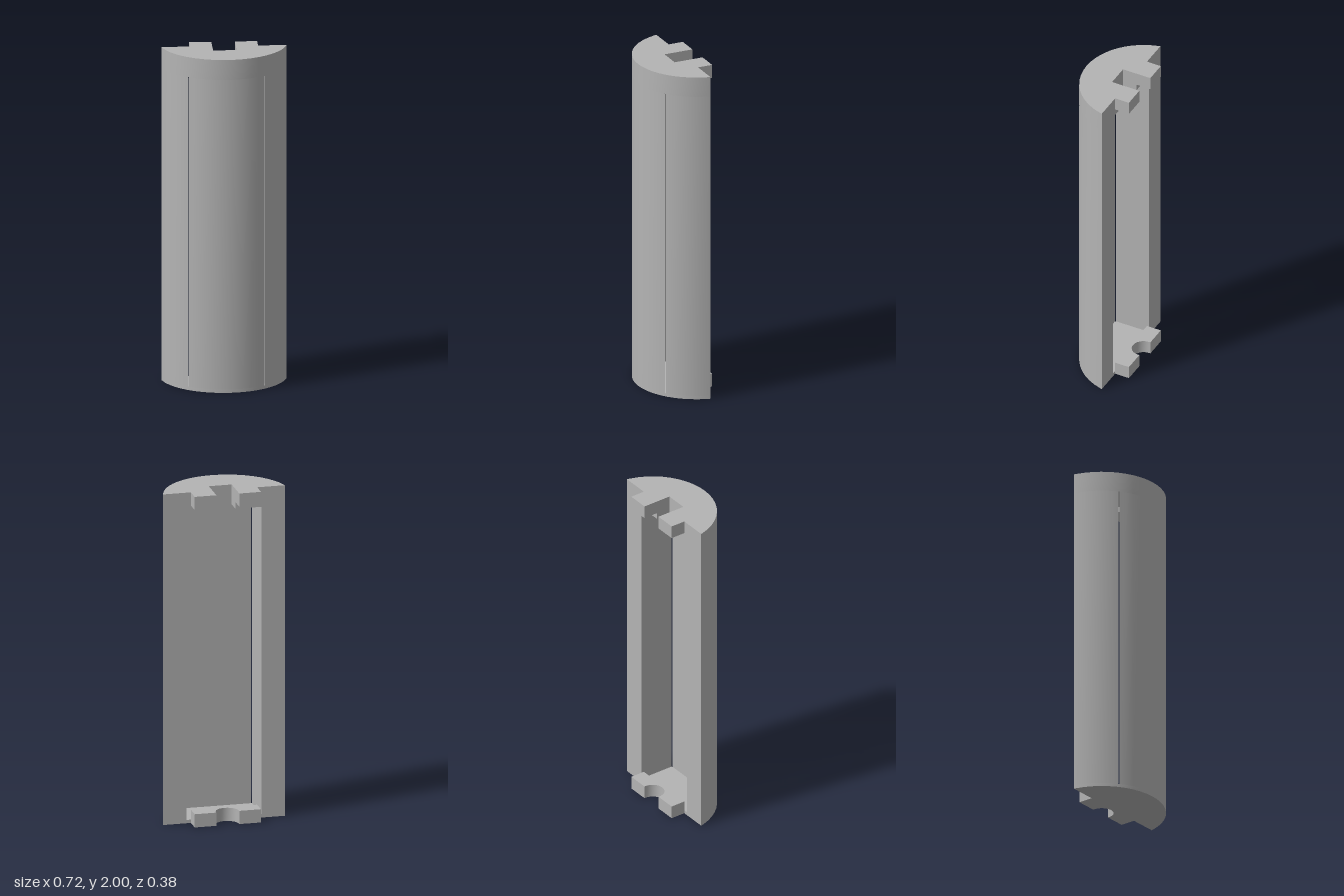
import * as THREE from 'three';
import { mergeGeometries, toCreasedNormals } from 'three/addons/utils/BufferGeometryUtils.js';

// Half-round section, given as [x, z] outlines
const R = 0.371, CZ = -0.181;          // curved front
const BACK = -0.1, TAB_Z = -0.19;      // flat back and end of the tabs
const TAB_X = 0.197, NOTCH_X = 0.068, NOTCH_Z = -0.012;
const POCKET_X = 0.222, POCKET_Z = 0.12;
const FLOOR = 0.02, CEILING = 1.88, TAB_H = 0.08, H = 2;
const STEP = Math.PI / 24;

const END = Math.acos((BACK - CZ) / R);         // where the curve meets the back
const SLOT_OUT = Math.asin(POCKET_X / R);       // outer edge of the corner slot
const SLOT_IN = Math.acos((POCKET_Z - CZ) / R); // inner edge of the corner slot

// Points on the curved front from angle a to angle b
function arc(a, b) {
  const angles = [a];
  for (let k = -12; k <= 12; k++) {
    if (k * STEP > a + 1e-3 && k * STEP < b - 1e-3) angles.push(k * STEP);
  }
  angles.push(b);
  return angles.map(t => [R * Math.sin(t), CZ + R * Math.cos(t)]);
}

const mirror = pts => pts.map(([x, z]) => [-x, z]).reverse();
const symmetric = half => [...half, ...mirror(half)];

// Upright sides around a closed outline
function wall(outline, y0, y1) {
  const pos = [];
  outline.forEach(([ax, az], i) => {
    const [bx, bz] = outline[(i + 1) % outline.length];
    pos.push(ax, y0, az, bx, y0, bz, bx, y1, bz);
    pos.push(ax, y0, az, bx, y1, bz, ax, y1, az);
  });
  const g = new THREE.BufferGeometry();
  g.setAttribute('position', new THREE.Float32BufferAttribute(pos, 3));
  g.computeVertexNormals();
  return g;
}

// Flat face filling an outline, looking up (1) or down (-1)
function cap(outline, y, up) {
  const shape = new THREE.Shape(outline.map(([x, z]) => new THREE.Vector2(x, -up * z)));
  const g = new THREE.ShapeGeometry(shape).toNonIndexed();
  g.deleteAttribute('uv');
  g.rotateX(-up * Math.PI / 2);
  g.translate(0, y, 0);
  return g;
}

export function createModel() {
  const grey = new THREE.MeshStandardMaterial({ color: 0xb4b4b4 });
  grey.name = 'grey';
  const group = new THREE.Group();
  group.name = 'halfRoundHousing';
  const add = (name, parts) => {
    const mesh = new THREE.Mesh(toCreasedNormals(mergeGeometries(parts), 0.5), grey);
    mesh.name = name;
    group.add(mesh);
  };

  // Round cutout in the bottom tab, from +x to -x
  const cutout = [];
  for (let i = 0; i <= 16; i++) {
    const t = Math.PI * i / 16;
    cutout.push([NOTCH_X * Math.cos(t), -0.181 + NOTCH_X * Math.sin(t)]);
  }
  const tabEnd = [[TAB_X, BACK], [TAB_X, TAB_Z], [NOTCH_X, TAB_Z],
    ...cutout, [-NOTCH_X, TAB_Z], [-TAB_X, TAB_Z], [-TAB_X, BACK]];
  const front = arc(-END, END);

  // Pocket section with its front corners cut by the curve
  const pocketFront = [[-POCKET_X, BACK], ...arc(-SLOT_OUT, -SLOT_IN),
    ...arc(SLOT_IN, SLOT_OUT), [POCKET_X, BACK]];

  // Bottom plate with notched tab rising above the pocket floor
  const base = [...front, ...tabEnd];
  add('bottomPlate', [
    cap(base, 0, -1), wall(base, 0, FLOOR), cap(pocketFront, FLOOR, 1),
    wall(tabEnd, FLOOR, TAB_H), cap(tabEnd, TAB_H, 1),
  ]);

  // Shell: two side posts and a front panel, parted by the thin corner slots
  const post = [...arc(SLOT_OUT, END), [POCKET_X, BACK]];
  const panel = arc(-SLOT_IN, SLOT_IN);
  add('leftPost', [wall(post, FLOOR, CEILING)]);
  add('rightPost', [wall(mirror(post), FLOOR, CEILING)]);
  add('frontPanel', [wall(panel, FLOOR, CEILING)]);

  // Top plate with square notch and two tabs
  const notch = [[NOTCH_X, BACK], [NOTCH_X, NOTCH_Z]];
  const lower = [...front, ...symmetric(notch)];
  const upper = [...front, ...symmetric([[TAB_X, BACK], [TAB_X, TAB_Z],
    [NOTCH_X, TAB_Z], [NOTCH_X, NOTCH_Z]])];
  const tab = [[TAB_X, BACK], [TAB_X, TAB_Z], [NOTCH_X, TAB_Z], [NOTCH_X, BACK]];
  add('topPlate', [
    cap([...pocketFront, ...symmetric(notch)], CEILING, -1),
    wall(lower, CEILING, H - TAB_H),
    cap(tab, H - TAB_H, -1), cap(mirror(tab), H - TAB_H, -1),
    wall(upper, H - TAB_H, H), cap(upper, H, 1),
  ]);
  return group;
}
